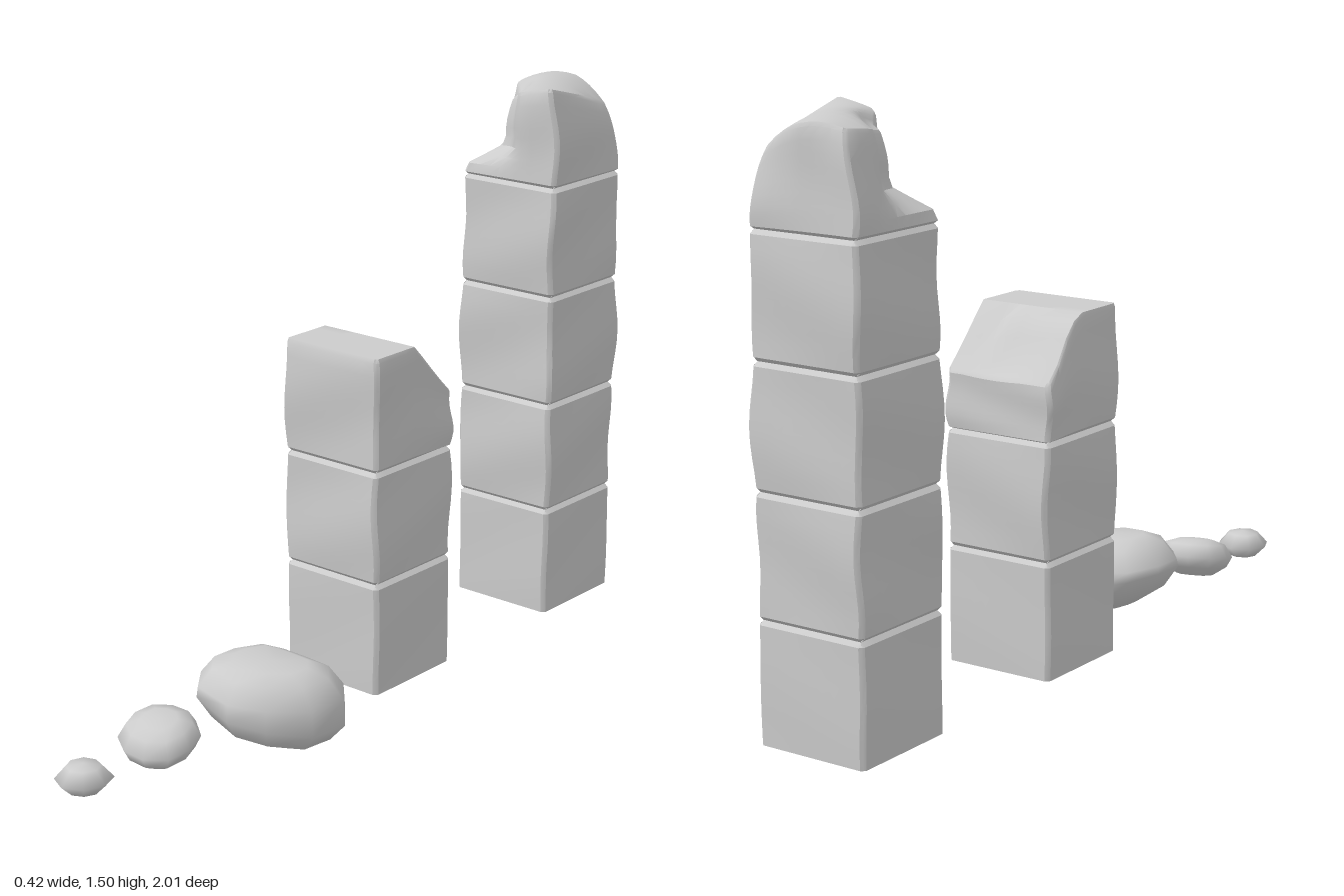
import * as THREE from 'three';
import { toCreasedNormals, mergeVertices } from 'three/addons/utils/BufferGeometryUtils.js';

const material = new THREE.MeshStandardMaterial({ color: 0xcccccc, side: THREE.DoubleSide });
const SEG = 10, HALF = 0.153, CX = -0.049;
const { clamp, lerp, smoothstep } = THREE.MathUtils;

// Spread grid coordinates so the outermost row forms a thin bevel
const spread = t => (Math.abs(t) > 0.99 ? t : t * 0.93 / (1 - 2 / SEG));

// One weathered block: a gridded box, open underneath, with bevels and gentle bulges.
// "carve" may reshape vertices; it gets the point and its normalised position.
function block(y0, y1, cz, seed, { isBase = false, isTop = false, carve } = {}) {
  const box = new THREE.BoxGeometry(2, 2, 2, SEG, SEG, SEG);
  const faces = isTop ? [0, 1, 2, 4, 5] : [0, 1, 4, 5];
  const index = [];
  for (const f of faces) {
    const { start, count } = box.groups[f];
    for (let i = start; i < start + count; i++) index.push(box.index.getX(i));
  }
  box.setIndex(index);
  box.clearGroups();
  const pos = box.attributes.position;
  const amount = isBase ? 0.002 : 0.007;
  for (let i = 0; i < pos.count; i++) {
    const [rx, ry, rz] = [pos.getX(i), pos.getY(i), pos.getZ(i)];
    let [x, y, z] = [rx, ry, rz].map(spread);
    const ex = Math.abs(rx) > 0.99, ey = Math.abs(ry) > 0.99, ez = Math.abs(rz) > 0.99;
    if (ex && ez) { x *= 0.97; z *= 0.97; }
    if (ey && !(isBase && ry < 0)) {
      const inset = isTop && ry > 0 ? 0.975 : 0.93;
      if (ex) x *= inset;
      if (ez) z *= inset;
    }
    // Bulges fade out at the joints
    const fade = 1 - y * y;
    const wx = amount * fade * (0.5 + Math.sin(seed * 2.1 + y * 1.9 + z * 1.3 + Math.sign(x)));
    const wz = amount * fade * (0.5 + Math.sin(seed * 3.7 + y * 1.7 - x * 1.4 + Math.sign(z)));
    const p = new THREE.Vector3(
      CX + x * (HALF + wx),
      lerp(y0, y1, (y + 1) / 2),
      cz + z * (HALF + wz));
    if (carve) carve(p, x, z, y0, y1);
    pos.setXYZ(i, p.x, p.y, p.z);
  }
  box.deleteAttribute('normal');
  box.deleteAttribute('uv');
  return new THREE.Mesh(toCreasedNormals(box, 0.5), material);
}

function pillar(name, cz, levels, carve) {
  const group = new THREE.Group();
  group.name = name;
  const n = levels.length - 1;
  for (let i = 0; i < n; i++) {
    const isTop = i === n - 1;
    const mesh = block(levels[i], levels[i + 1], cz, i + cz * 5, {
      isBase: i === 0, isTop, carve: isTop ? carve : undefined });
    mesh.name = isTop ? 'brokenTopBlock' : 'block' + (i + 1);
    group.add(mesh);
  }
  return group;
}

// Short pillar: the rear of the top is broken off in a slope
function slopedBreak(p, x, z, y0, y1) {
  const t = clamp((-0.11 - p.z) / 0.15, 0, 1);
  const ridge = 0.03 * Math.max(0, 1 - Math.abs(t - 0.35) / 0.35) * (x < 0.4 ? 1 : 0);
  const dent = 0.02 * Math.max(0, 1 - Math.hypot(x - 0.1, (t - 0.6) * 2));
  const roof = y1 - 0.155 * t + ridge - dent;
  p.y = y0 + (p.y - y0) * (roof - y0) / (y1 - y0);
}

// Tall pillar: an uneven tilted top with the front right corner scooped away
function raggedTop(p, x, z, y0, y1) {
  const u = (x + 1) / 2, v = (z + 1) / 2;
  const roof = lerp(lerp(1.485, 1.43, u * u), lerp(1.455, 1.515, u), v)
    + 0.02 * (1 - x * x) * (1 - z * z) + 0.02 * (1 - x * x) * (1 - v);
  const k = (p.y - y0) / (y1 - y0);
  p.y = y0 + k * (roof - y0);
  // Taper the upper edges, most of all at the rear
  const taper = k * k;
  p.x -= 0.018 * x * taper + 0.022 * x * taper * (1 - v);
  p.z -= 0.022 * taper * Math.min(z, 0) * Math.abs(x);
  // Scooped corner above a small ledge
  const corner = smoothstep(-x, -0.4, 1) * smoothstep(z, -0.5, 1);
  const bite = corner * smoothstep(k, 0.08, 0.45);
  p.x += 0.085 * bite;
  p.z -= 0.075 * bite;
}

// Stone: a plan outline (x, z) swept through [scale, y] rings, then sheared
function stone(name, cx, cz, outline, rings, shear) {
  const n = outline.length, pts = [], index = [];
  const mid = (rings[0][1] + rings[rings.length - 1][1]) / 2;
  rings.forEach(([s, y], i) => outline.forEach(([ox, oz], j) => {
    const dx = (ox - cx) * s, dz = (oz - cz) * s;
    pts.push(cx + dx, y + shear(dx, dz, y < mid), cz + dz);
    if (i + 1 < rings.length) {
      const a = i * n + j, b = i * n + (j + 1) % n;
      index.push(a, a + n, b, b, a + n, b + n);
    }
  }));
  let geo = new THREE.BufferGeometry();
  geo.setAttribute('position', new THREE.Float32BufferAttribute(pts, 3));
  geo.setIndex(index);
  geo = mergeVertices(geo);
  geo.computeVertexNormals();
  const mesh = new THREE.Mesh(geo, material);
  mesh.name = name;
  return mesh;
}

// Near-round outline with slight irregularity
const roundOutline = (cx, cz, rx, rz, n) => Array.from({ length: n }, (_, j) => {
  const a = Math.PI + j / n * Math.PI * 2, r = 1 + 0.03 * Math.sin(j * 2.3);
  return [cx + rx * r * Math.cos(a), cz + rz * r * Math.sin(a)];
});

export function createModel() {
  const model = new THREE.Group();
  model.name = 'ruinedPillars';
  model.add(
    pillar('tallPillar', -0.842, [0.035, 0.337, 0.641, 0.945, 1.246, 1.515], raggedTop),
    pillar('shortPillar', -0.11, [0.035, 0.338, 0.642, 0.945], slopedBreak));

  const largeOutline = [[-0.14, 0.35], [-0.1, 0.26], [-0.03, 0.235], [0.06, 0.225], [0.15, 0.22],
    [0.21, 0.29], [0.2, 0.4], [0.12, 0.485], [0.03, 0.53], [-0.09, 0.51], [-0.145, 0.44]];
  model.add(stone('largeStone', 0.035, 0.375, largeOutline,
    [[0, 0.015], [0.4, 0.025], [0.8, 0.06], [1, 0.11], [0.98, 0.155], [0.78, 0.205], [0.5, 0.225], [0, 0.228]],
    (dx, dz, low) => -dx * (low ? 0.22 : 0.08)));
  model.add(stone('mediumStone', -0.05, 0.683, roundOutline(-0.05, 0.683, 0.104, 0.098, 10),
    [[0, 0.045], [0.5, 0.05], [0.85, 0.075], [1, 0.105], [0.8, 0.14], [0.45, 0.152], [0, 0.155]],
    (dx, dz) => -dz * 0.2 - dx * 0.06));
  model.add(stone('smallStone', -0.063, 0.928, roundOutline(-0.063, 0.928, 0.072, 0.072, 8),
    [[0, 0.045], [0.55, 0.05], [1, 0.082], [0.6, 0.114], [0, 0.12]],
    () => 0));
  return model;
}
